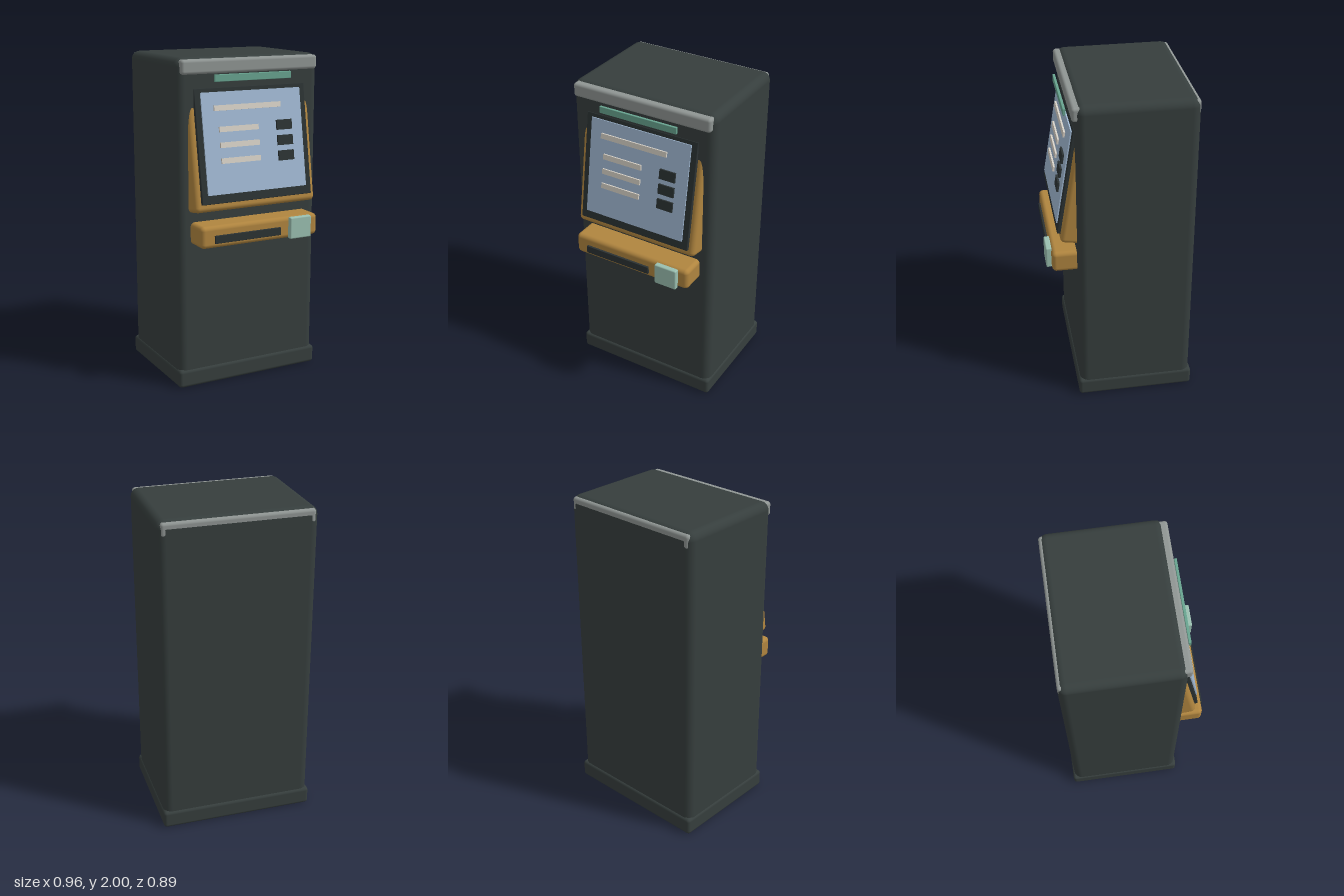
import * as THREE from 'three';
import { RoundedBoxGeometry } from 'three/addons/geometries/RoundedBoxGeometry.js';

const paint = (name, color) => Object.assign(new THREE.MeshStandardMaterial({ color }), { name });

export function createModel() {
  const model = new THREE.Group();
  model.name = 'kiosk';

  const charcoal = paint('charcoal', 0x363e3d);
  const black = paint('black', 0x2b3233);
  const grey = paint('grey', 0x8f9593);
  const ochre = paint('ochre', 0xb0853f);
  const blue = paint('screenBlue', 0xa0b8d2);
  const cream = paint('cream', 0xd6d0c6);
  const teal = paint('teal', 0x68a490);
  const mint = paint('mint', 0x9abfb0);

  // Box given by its limits on each axis, with optional rounded edges
  function box(parent, name, material, [x0, x1], [y0, y1], [z0, z1], radius = 0) {
    const size = [x1 - x0, y1 - y0, z1 - z0];
    const geometry = radius
      ? new RoundedBoxGeometry(...size, 4, radius)
      : new THREE.BoxGeometry(...size);
    const mesh = new THREE.Mesh(geometry, material);
    mesh.name = name;
    mesh.position.set((x0 + x1) / 2, (y0 + y1) / 2, (z0 + z1) / 2);
    parent.add(mesh);
  }

  // Cabinet, plinth and top trim
  box(model, 'cabinet', charcoal, [-0.473, 0.473], [0.01, 2], [-0.435, 0.267], 0.05);
  box(model, 'plinth', charcoal, [-0.48, 0.48], [0, 0.112], [-0.446, 0.277], 0.02);
  box(model, 'topTrim', grey, [-0.453, 0.453], [1.905, 1.99], [-0.4345, 0.288], 0.018);
  box(model, 'signStrip', teal, [-0.255, 0.255], [1.86, 1.902], [0.298, 0.314], 0.003);

  // Screen unit leaning back; its local z = 0 is the face of the screen
  const screenUnit = new THREE.Group();
  screenUnit.name = 'screenUnit';
  screenUnit.position.set(0, 1.2, 0.381);
  screenUnit.rotation.x = -0.165;
  model.add(screenUnit);
  box(screenUnit, 'screenHousing', ochre, [-0.408, 0.408], [-0.085, 0.57], [-0.19, -0.028], 0.028);
  box(screenUnit, 'bezel', black, [-0.37, 0.37], [-0.04, 0.632], [-0.036, -0.008], 0.003);
  box(screenUnit, 'screen', blue, [-0.333, 0.333], [0.012, 0.608], [-0.014, 0]);

  // Raised text bars and buttons on the screen
  box(screenUnit, 'titleBar', cream, [-0.257, 0.187], [0.498, 0.53], [0, 0.011]);
  for (let i = 0; i < 3; i++) {
    const y = 0.206 + i * 0.092;
    box(screenUnit, 'textBar', cream, [-0.233, 0.027], [y - 0.016, y + 0.016], [0, 0.011]);
    box(screenUnit, 'screenButton', black, [0.152, 0.256], [y - 0.029, y + 0.031], [0, 0.012]);
  }

  // Shelf with slot and card reader
  box(model, 'shelf', ochre, [-0.396, 0.396], [0.903, 1.036], [0.2, 0.415], 0.026);
  box(model, 'slot', black, [-0.312, 0.13], [0.933, 0.98], [0.41, 0.428], 0.002);
  box(model, 'cardReader', mint, [0.187, 0.333], [0.903, 1.036], [0.411, 0.446], 0.008);

  return model;
}
